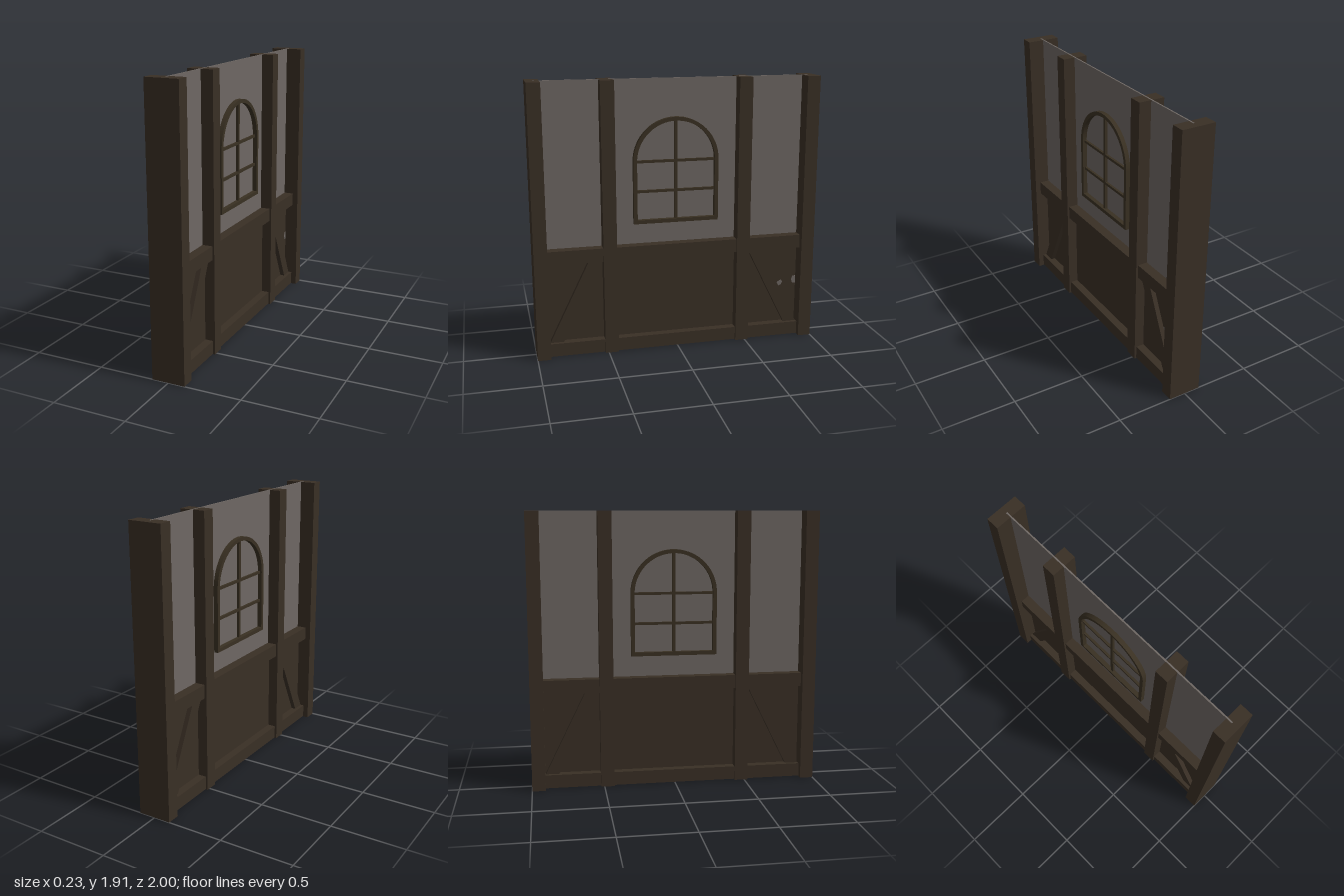
import * as THREE from 'three';

const wood = new THREE.MeshStandardMaterial({ color: 0x392f25 });
wood.name = 'darkWood';
const frameWood = new THREE.MeshStandardMaterial({ color: 0x393022 });
frameWood.name = 'windowWood';
const plaster = new THREE.MeshStandardMaterial({ color: 0x6e6763 });
plaster.name = 'greyPlaster';

export function createModel() {
  const wall = new THREE.Group();
  wall.name = 'timberWall';
  const H = 1.905;

  // Box centred on x = 0, spanning y0..y1 and z0..z1
  const beam = (name, depth, y0, y1, z0, z1, material = wood, parent = wall) => {
    const mesh = new THREE.Mesh(new THREE.BoxGeometry(depth, y1 - y0, z1 - z0), material);
    mesh.position.set(0, (y0 + y1) / 2, (z0 + z1) / 2);
    mesh.name = name;
    parent.add(mesh);
    return mesh;
  };

  // Outline drawn along the wall, extruded through its thickness
  const slab = (name, shape, depth, material, parent = wall) => {
    const geo = new THREE.ExtrudeGeometry(shape, { depth, bevelEnabled: false, curveSegments: 24 });
    geo.translate(0, 0, -depth / 2);
    geo.rotateY(Math.PI / 2);
    const mesh = new THREE.Mesh(geo, material);
    mesh.name = name;
    parent.add(mesh);
    return mesh;
  };

  // Plaster sheet and lower boarding
  beam('plasterSheet', 0.01, 0.01, H + 0.001, -0.95, 0.95, plaster);
  beam('lowerPanel', 0.036, 0.05, 0.72, -0.93, 0.93);

  // Rails
  beam('sillRail', 0.15, 0.004, 0.097, -0.92, 0.92);
  beam('middleRail', 0.15, 0.67, 0.765, -0.92, 0.92);

  // Posts and diagonal braces on both ends
  for (const s of [-1, 1]) {
    beam('endPost', 0.23, 0, H, s * 0.955 - 0.046, s * 0.955 + 0.046).position.z = s * 0.954;
    beam('innerPost', 0.178, 0, H, s * 0.477 - 0.047, s * 0.477 + 0.047);
    const brace = new THREE.Shape([
      [0.908, 0.09], [0.815, 0.09], [0.525, 0.675], [0.62, 0.675],
    ].map(([u, y]) => new THREE.Vector2(s * u, y)));
    slab('diagonalBrace', brace, 0.1, wood);
  }

  // Arched window frame
  const arch = (PathType, r, y0) => {
    const p = new PathType();
    p.moveTo(-r, y0);
    p.lineTo(r, y0);
    p.lineTo(r, 1.345);
    p.absarc(0, 1.345, r, 0, Math.PI, false);
    p.lineTo(-r, y0);
    return p;
  };
  const windowGroup = new THREE.Group();
  windowGroup.name = 'archedWindow';
  wall.add(windowGroup);
  const outline = arch(THREE.Shape, 0.3, 0.91);
  outline.holes.push(arch(THREE.Path, 0.274, 0.936));
  slab('windowFrame', outline, 0.072, frameWood, windowGroup);

  // Glazing bars
  beam('verticalBar', 0.046, 0.92, 1.63, -0.01, 0.01, frameWood, windowGroup);
  for (const y of [1.135, 1.343]) {
    beam('horizontalBar', 0.044, y - 0.009, y + 0.009, -0.285, 0.285, frameWood, windowGroup);
  }

  // Small bare plaster patches on the lower boarding
  const patches = [
    [[0.76, 0.395], [0.775, 0.37], [0.797, 0.378], [0.806, 0.4], [0.795, 0.415]],
    [[0.875, 0.41], [0.885, 0.382], [0.91, 0.382], [0.91, 0.438], [0.885, 0.438]],
  ];
  for (const points of patches) {
    const shape = new THREE.Shape(points.map(([u, y]) => new THREE.Vector2(u, y)));
    slab('plasterPatch', shape, 0.004, plaster).position.x = 0.018;
  }
  return wall;
}
